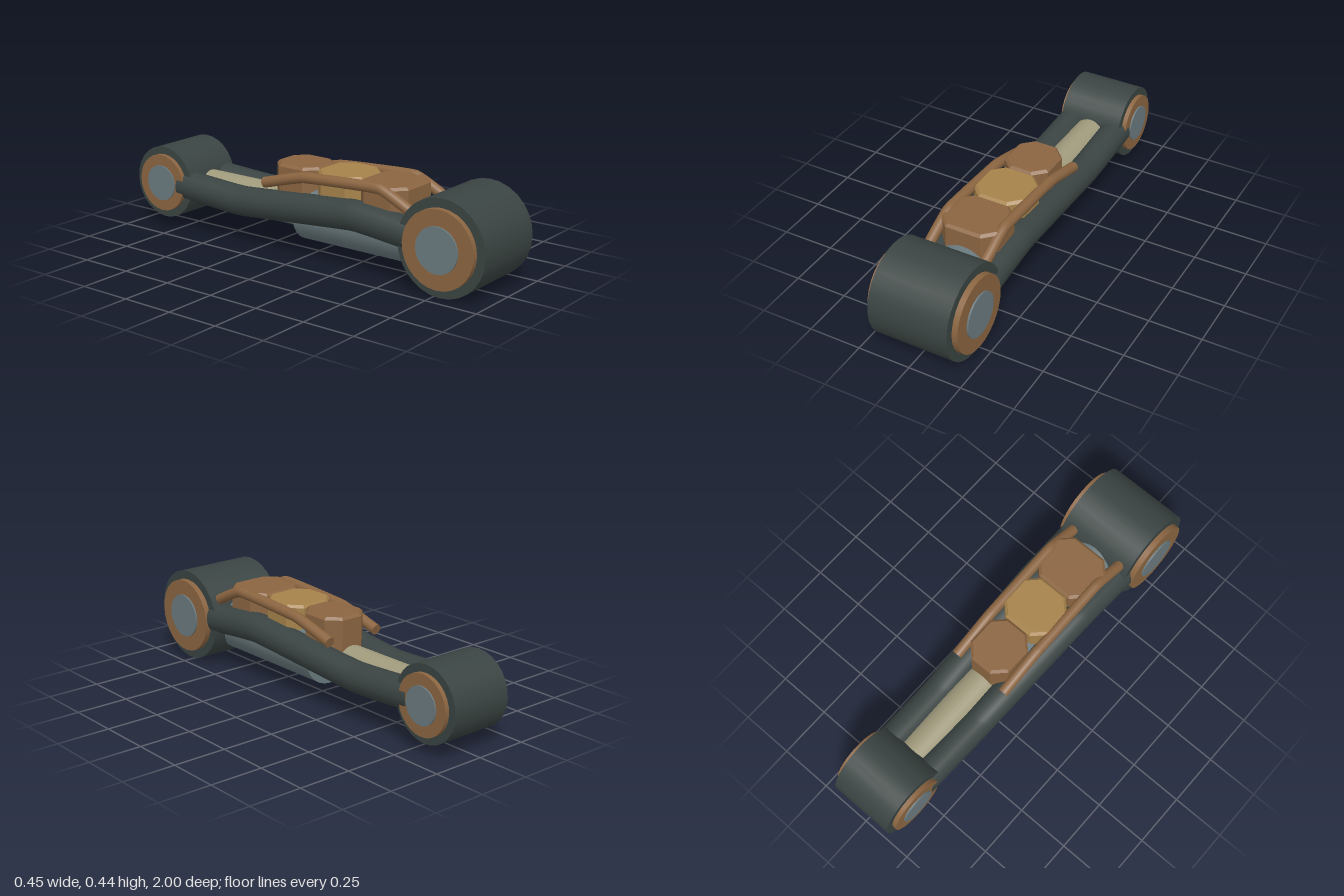
import * as THREE from 'three';

const mat = (name, color) => {
  const m = new THREE.MeshStandardMaterial({ color });
  m.name = name;
  return m;
};

export function createModel() {
  const dark = mat('dark casing', 0x3a4442);
  const copper = mat('copper brown', 0x8b6541);
  const gold = mat('dull gold', 0xa5824a);
  const steel = mat('blue steel', 0x6a7a7e);
  const rodMetal = mat('pale rod', 0xa09a7c);

  const model = new THREE.Group();
  model.name = 'pistonLink';

  const add = (parent, name, geometry, material) => {
    const mesh = new THREE.Mesh(geometry, material);
    mesh.name = name;
    parent.add(mesh);
    return mesh;
  };

  // Pivot hub: barrel, bearing ring and pin stacked along x
  const addHub = (name, y, z, layers) => {
    const hub = new THREE.Group();
    hub.name = name;
    hub.position.set(0, y, z);
    for (const [part, r, halfWidth, material] of layers) {
      const g = new THREE.CylinderGeometry(r, r, halfWidth * 2, 28).rotateZ(Math.PI / 2);
      add(hub, part, g, material);
    }
    model.add(hub);
  };
  addHub('frontHub', 0.2185, 0.7815, [
    ['barrel', 0.2185, 0.19, dark], ['bearing', 0.177, 0.217, copper], ['pin', 0.104, 0.225, steel],
  ]);
  addHub('rearHub', 0.222, -0.826, [
    ['barrel', 0.174, 0.153, dark], ['bearing', 0.138, 0.174, copper], ['pin', 0.086, 0.181, steel],
  ]);

  // Piston sleeve and rod along z
  const addPiston = (name, r, z0, z1, material) => {
    const g = new THREE.CylinderGeometry(r, r, z1 - z0, 28).rotateX(Math.PI / 2);
    add(model, name, g, material).position.set(0, 0.192, (z0 + z1) / 2);
  };
  addPiston('pistonSleeve', 0.137, -0.05, 0.7, steel);
  addPiston('pistonRod', 0.085, -0.75, 0, rodMetal);

  // Bent round bar with flat end caps
  const addBar = (name, points, r, material) => {
    const bar = new THREE.Group();
    bar.name = name;
    const path = new THREE.CatmullRomCurve3(
      points.map((p) => new THREE.Vector3(...p)), false, 'catmullrom', 0.15);
    add(bar, 'shaft', new THREE.TubeGeometry(path, 40, r, 16), material);
    for (const t of [0, 1]) {
      const cap = add(bar, 'endCap', new THREE.CircleGeometry(r, 16), material);
      const out = path.getTangent(t).multiplyScalar(t ? 1 : -1);
      cap.position.copy(path.getPoint(t));
      cap.quaternion.setFromUnitVectors(new THREE.Vector3(0, 0, 1), out);
    }
    model.add(bar);
  };
  for (const [side, s] of [['left', 1], ['right', -1]]) {
    addBar(side + 'Arm', [
      [s * 0.143, 0.228, 0.67], [s * 0.136, 0.26, 0.3],
      [s * 0.116, 0.202, -0.36], [s * 0.112, 0.22, -0.73],
    ], 0.07, dark);
    addBar(side + 'Rail', [
      [s * 0.137, 0.325, 0.605], [s * 0.137, 0.404, 0.43],
      [s * 0.137, 0.383, 0.02], [s * 0.137, 0.322, -0.21],
    ], 0.025, copper);
  }

  // Armour blocks: eight-sided prisms with a narrow bevel
  const addBlock = (name, halfX, z0, z1, material) => {
    const bevel = 0.012, c = 0.05;
    const w = halfX - bevel, h = (z1 - z0) / 2 - bevel;
    const outline = [
      [w, c - h], [w, h - c], [w - c, h], [c - w, h],
      [-w, h - c], [-w, c - h], [c - w, -h], [w - c, -h],
    ].map((p) => new THREE.Vector2(...p));
    const g = new THREE.ExtrudeGeometry(new THREE.Shape(outline), {
      depth: 0.2, bevelEnabled: true, bevelSize: bevel, bevelThickness: bevel, bevelSegments: 1,
    }).rotateX(-Math.PI / 2);
    add(model, name, g, material).position.set(0, 0.203, (z0 + z1) / 2);
  };
  addBlock('frontBlock', 0.143, 0.295, 0.547, copper);
  addBlock('middleBlock', 0.128, 0.046, 0.294, gold);
  addBlock('rearBlock', 0.112, -0.202, 0.045, copper);

  return model;
}
